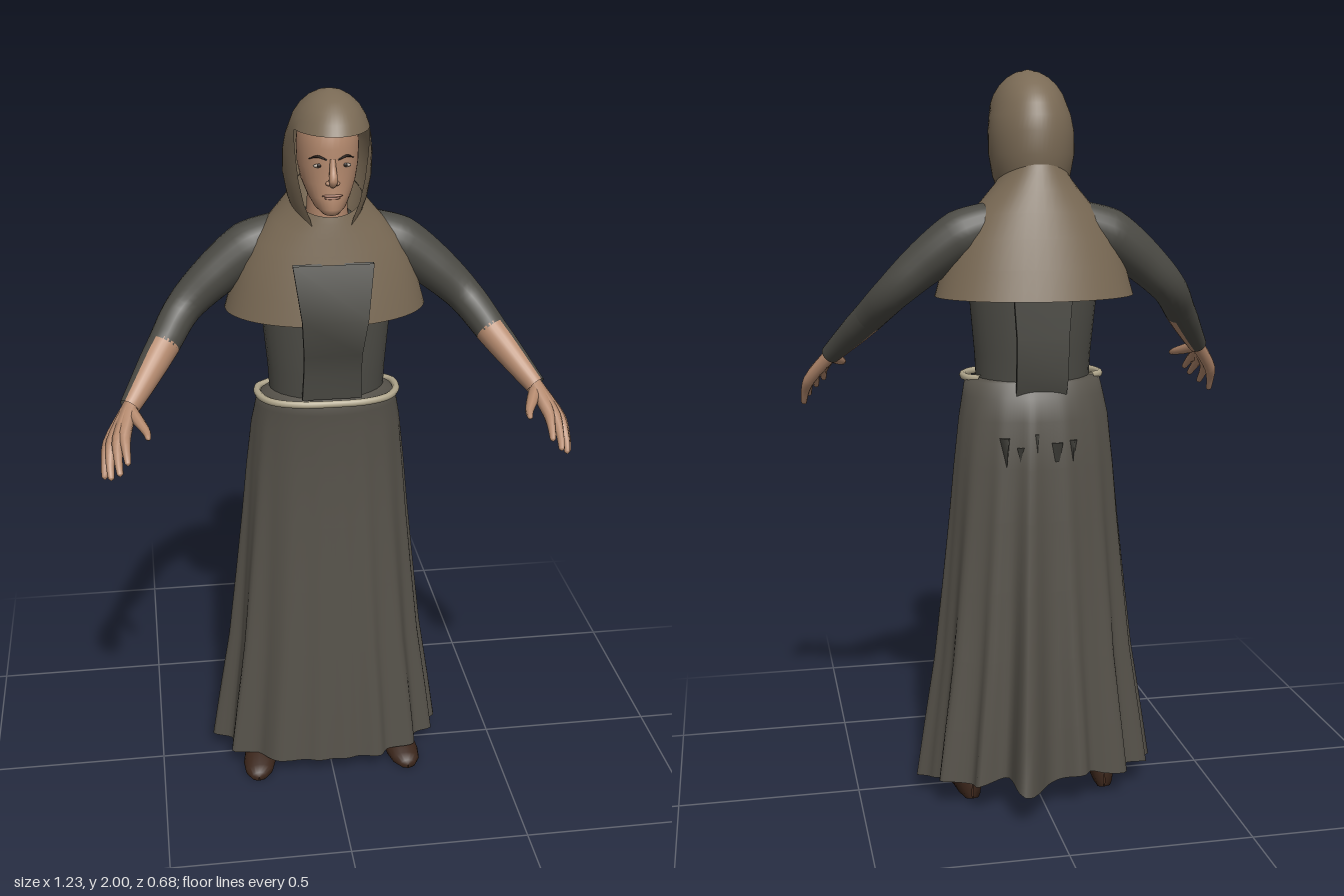
import * as THREE from 'three';
import { mergeGeometries, mergeVertices } from 'three/addons/utils/BufferGeometryUtils.js';

const mat = (name, color) => {
  const m = new THREE.MeshStandardMaterial({ color, side: THREE.DoubleSide });
  m.name = name;
  return m;
};
const V = (x, y, z) => new THREE.Vector3(x, y, z);

// Joins a list of equal rings of points into one smooth surface.
function loft(rings, closed = true) {
  const n = rings[0].length, index = [];
  const last = closed ? n : n - 1;
  for (let i = 0; i < rings.length - 1; i++) {
    for (let j = 0; j < last; j++) {
      const k = (j + 1) % n;
      const a = i * n + j, b = a + n, c = i * n + k, d = c + n;
      index.push(a, b, c, b, d, c);
    }
  }
  const g = new THREE.BufferGeometry().setFromPoints(rings.flat());
  g.setIndex(index);
  g.computeVertexNormals();
  return g;
}

// Horizontal oval ring from [y, half width, back z, front z].
function oval([y, w, zb, zf], n, warp = () => ({ k: 1, dy: 0 })) {
  const cz = (zb + zf) / 2, d = (zf - zb) / 2;
  return Array.from({ length: n }, (_, j) => {
    const a = (j / n) * Math.PI * 2, { k, dy } = warp(a, y);
    return V(w * k * Math.cos(a), y + dy, cz + d * k * Math.sin(a));
  });
}
const ovals = (rows, n = 32, warp) => loft(rows.map((r) => oval(r, n, warp)));

// Tapered limb along a smooth path of [x, y, z, radius]; a0..a1 limits it to a strip.
function limb(points, { steps = 12, sides = 12, a0 = 0, a1 = Math.PI * 2 } = {}) {
  const curve = new THREE.CatmullRomCurve3(points.map((p) => V(p[0], p[1], p[2])));
  const closed = a1 - a0 > 6.28;
  const rings = [];
  for (let i = 0; i <= steps; i++) {
    const t = i / steps, f = t * (points.length - 1), q = Math.min(Math.floor(f), points.length - 2);
    const r = THREE.MathUtils.lerp(points[q][3], points[q + 1][3], f - q);
    const p = curve.getPoint(t), T = curve.getTangent(t);
    const N = V(0, 0, 1).addScaledVector(T, -T.z).normalize(), B = N.clone().cross(T);
    rings.push(Array.from({ length: closed ? sides : sides + 1 }, (_, j) => {
      const a = a0 + (j / sides) * (a1 - a0);
      return p.clone().addScaledVector(N, r * Math.cos(a)).addScaledVector(B, r * Math.sin(a));
    }));
  }
  return loft(rings, closed);
}

export function createModel() {
  const model = new THREE.Group();
  const robe = mat('robe cloth', 0x56524a), tunic = mat('tunic cloth', 0x4b4a44);
  const hoodCloth = mat('hood cloth', 0x7a6a55), skin = mat('skin', 0xb58a6e);
  const rope = mat('rope', 0xb0a68c), leather = mat('shoe leather', 0x3a251a);
  const dark = mat('brow brown', 0x2a211c), white = mat('eye white', 0xb5a99c), lip = mat('lips', 0xa3725d);
  const add = (name, geometry, material) => {
    const m = new THREE.Mesh(geometry, material);
    m.name = name;
    model.add(m);
    return m;
  };

  // Skirt: oval rows with sharp pleats that grow towards the hem
  const hem = [0.05, 0.3, -0.23, 0.15];
  const pleats = [[0.08, -0.35], [0.19, -0.225], [0.29, -0.165], [0.34, -0.04], [0.315, 0.03], [0.25, 0.11],
    [-0.1, -0.25], [-0.23, -0.2], [-0.32, -0.12], [-0.345, -0.03], [-0.3, 0.07], [-0.17, 0.14], [0.14, 0.15]]
    .map(([x, z]) => {
      const u = x / hem[1], v = (z + 0.04) / 0.19;
      return [Math.atan2(v, u), Math.hypot(u, v) - 1];
    });
  const fold = (a, y) => {
    const grow = Math.pow(Math.max(0, 1 - y / 1.18), 1.2);
    let k = 1 + 0.015 * grow * Math.sin(a * 23);
    for (const [pa, h] of pleats) {
      const d = Math.atan2(Math.sin(a - pa), Math.cos(a - pa));
      k += h * grow * Math.exp(-((d / 0.11) ** 2));
    }
    const back = Math.max(0, -Math.sin(a));
    return { k, dy: grow * (0.045 * back + 0.012 * Math.sin(a * 9) * back) };
  };
  add('skirt', ovals([hem, [0.2, 0.285, -0.222, 0.14], [0.4, 0.262, -0.21, 0.126], [0.6, 0.246, -0.2, 0.112],
    [0.8, 0.23, -0.192, 0.1], [0.95, 0.219, -0.187, 0.094], [1.08, 0.206, -0.177, 0.094], [1.14, 0.195, -0.158, 0.097],
    [1.18, 0.187, -0.142, 0.1], [1.19, 0.15, -0.12, 0.085]], 144, fold), robe);

  // Torso
  add('torso', ovals([[1.15, 0.155, -0.135, 0.09], [1.25, 0.16, -0.142, 0.093], [1.41, 0.175, -0.155, 0.093],
    [1.52, 0.17, -0.15, 0.08], [1.62, 0.12, -0.13, 0.06], [1.68, 0.05, -0.09, 0.04]]), tunic);

  // Hanging front and back panels: four soft faces following a profile of [z, y, half width]
  const panel = (name, rows) => {
    const corners = [[-1, 0], [1, 0], [1, 0.014], [-1, 0.014]];
    corners.forEach((c, i) => add(name, loft(rows.map(([z, y, w]) =>
      [c, corners[(i + 1) % 4]].map(([side, gap]) => V(side * w, y, z - gap))), false), tunic));
  };
  panel('frontPanel', [[0.1, 1.19, 0.08], [0.108, 1.26, 0.077], [0.122, 1.32, 0.077], [0.164, 1.43, 0.086], [0.124, 1.57, 0.105]]);
  panel('backPanel', [[-0.13, 1.14, 0.068], [-0.15, 1.2, 0.07], [-0.156, 1.3, 0.07], [-0.157, 1.44, 0.08]]);

  // Ragged ends of the back panel showing through the skirt
  [-0.08, -0.035, 0.02, 0.06, 0.1].forEach((x, i) => {
    const tip = add('panelTatter', new THREE.ConeGeometry(0.018, 0.06 + 0.02 * (i % 3), 3), tunic);
    tip.position.set(x, 1.0 - 0.015 * (i % 2), -0.181 + x * x);
    tip.rotation.set(Math.PI + 0.1, i, 0);
  });

  // Rope belt, open at the back
  const beltPath = [[-0.155, -0.06], [-0.186, -0.03], [-0.19, 0.03], [-0.16, 0.085], [-0.09, 0.116], [0, 0.122],
    [0.09, 0.116], [0.155, 0.085], [0.184, 0.03], [0.18, -0.03], [0.15, -0.06]].map(([x, z]) => V(x, 1.185, z));
  add('ropeBelt', new THREE.TubeGeometry(new THREE.CatmullRomCurve3(beltPath), 60, 0.01, 8), rope);

  // Shoulder cape with a collar that dips at the front
  const capeRows = [[1.408, 0.27, -0.246, 0.14], [1.48, 0.25, -0.225, 0.13], [1.55, 0.222, -0.203, 0.118],
    [1.61, 0.185, -0.183, 0.109], [1.66, 0.14, -0.165, 0.102], [1.7, 0.105, -0.15, 0.096], [1.72, 0.092, -0.142, 0.092]];
  add('cape', ovals(capeRows, 48, (a, y) => ({ k: 1, dy: -0.034 * Math.sin(a) * ((y - 1.408) / 0.312) })), hoodCloth);

  // Hood: closed crown with a brim, and side walls open around the face, welded into one surface
  const brim = [1.91, 0.1, -0.122, 0.188];
  const opening = ([, , zb, zf]) => Math.asin((0.17 - zb - zf) / (zf - zb));
  const hoodRing = (row, open, front) => {
    const [y, w, zb, zf] = row, angles = [];
    for (let j = 0; j <= 40; j++) angles.push(Math.PI - open + (j / 40) * (Math.PI + 2 * open));
    for (let j = 1; j < front; j++) angles.push(open + (j / front) * (Math.PI - 2 * open));
    return angles.map((a) => V(w * Math.cos(a), y, (zb + zf) / 2 + ((zf - zb) / 2) * Math.sin(a)));
  };
  const crown = loft([brim, [1.935, 0.091, -0.102, 0.172], [1.96, 0.075, -0.073, 0.15], [1.98, 0.054, -0.037, 0.118],
    [1.993, 0.031, 0.002, 0.08], [2, 0.0005, 0.037, 0.038]].map((r) => hoodRing(r, opening(brim), 20)));
  const walls = loft([[1.64, 0.075, -0.1, 0.105], [1.68, 0.088, -0.118, 0.11], [1.72, 0.103, -0.135, 0.12],
    [1.78, 0.114, -0.147, 0.13], [1.84, 0.114, -0.145, 0.142], [1.88, 0.108, -0.136, 0.16], brim]
    .map((r) => hoodRing(r, opening(r), 0)), false);
  const hood = mergeGeometries([crown.deleteAttribute('normal'), walls.deleteAttribute('normal')]);
  const welded = mergeVertices(hood, 1e-5);
  welded.computeVertexNormals();
  add('hood', welded, hoodCloth);

  // Head and neck
  add('neck', ovals([[1.58, 0.06, -0.07, 0.05], [1.76, 0.05, -0.06, 0.05]], 20), skin);
  add('head', ovals([[1.69, 0.001, 0.06, 0.065], [1.691, 0.022, 0.03, 0.096], [1.707, 0.04, -0.01, 0.106],
    [1.735, 0.056, -0.05, 0.103], [1.77, 0.07, -0.08, 0.1], [1.81, 0.078, -0.1, 0.1], [1.86, 0.08, -0.1, 0.102],
    [1.91, 0.075, -0.09, 0.095], [1.95, 0.05, -0.05, 0.07], [1.965, 0.001, 0.01, 0.02]], 32), skin);

  // Face
  const blob = (name, m, p, s) => {
    const b = add(name, new THREE.SphereGeometry(1, 14, 10), m);
    b.position.set(...p);
    b.scale.set(...s);
    return b;
  };
  add('nose', limb([[0, 1.835, 0.098, 0.007], [0, 1.81, 0.104, 0.009], [0, 1.785, 0.113, 0.012],
    [0, 1.772, 0.106, 0.009], [0, 1.766, 0.098, 0.001]], { sides: 10 }), skin);
  blob('upperLip', lip, [0, 1.743, 0.099], [0.027, 0.004, 0.005]);
  blob('lowerLip', lip, [0, 1.737, 0.099], [0.021, 0.004, 0.005]);

  for (const s of [-1, 1]) {
    blob('nostril', skin, [s * 0.011, 1.775, 0.101], [0.007, 0.006, 0.008]);
    blob('eye', white, [s * 0.034, 1.818, 0.089], [0.014, 0.005, 0.004]);
    blob('iris', dark, [s * 0.033, 1.819, 0.0915], [0.006, 0.005, 0.003]);
    add('eyebrow', limb([[s * 0.014, 1.834, 0.099, 0.002], [s * 0.036, 1.842, 0.092, 0.0035],
      [s * 0.057, 1.833, 0.073, 0.001]], { sides: 6 }), dark);

    // Sleeved arm; the forearm is bare along its inner side
    const arm = (pts) => pts.map(([x, y, z, r]) => [s * x, y, z, r]);
    add('upperArm', limb(arm([[0.12, 1.597, -0.075, 0.062], [0.2, 1.567, -0.068, 0.071], [0.29, 1.503, -0.056, 0.061],
      [0.38, 1.42, -0.033, 0.049], [0.44, 1.345, 0.044, 0.043]]), { steps: 20, sides: 20 }), tunic);
    const fore = arm([[0.437, 1.348, 0.04, 0.0435], [0.467, 1.312, 0.08, 0.04], [0.505, 1.266, 0.132, 0.033],
      [0.535, 1.23, 0.17, 0.027]]);
    const mid = -s * 0.63, bare0 = mid - 1.6, bare1 = mid + 1.6;
    add('bareForearm', limb(fore, { a0: bare0, a1: bare1 }), skin);
    add('forearmSleeve', limb(fore, { a0: bare1, a1: bare0 + 2 * Math.PI }), tunic);

    // Hand: each finger runs from the wrist through its knuckle to the tip
    const fingers = [
      [[0.55, 1.187, 0.245], [0.549, 1.165, 0.288], [0.546, 1.14, 0.322]],
      [[0.567, 1.175, 0.25], [0.57, 1.147, 0.298], [0.567, 1.118, 0.336]],
      [[0.583, 1.163, 0.238], [0.591, 1.128, 0.28], [0.59, 1.097, 0.312]],
      [[0.592, 1.153, 0.22], [0.604, 1.113, 0.248], [0.607, 1.08, 0.268]],
    ];
    for (const [k, m, t] of fingers) {
      add('finger', limb(arm([[0.53, 1.235, 0.165, 0.02], [...k, 0.017], [...m, 0.0115], [...t, 0.008],
        [t[0], t[1] - 0.005, t[2] + 0.004, 0.0005]]), { steps: 16, sides: 8 }), skin);
    }
    add('thumb', limb(arm([[0.535, 1.225, 0.175, 0.018], [0.512, 1.208, 0.225, 0.015], [0.496, 1.197, 0.262, 0.011],
      [0.492, 1.19, 0.288, 0.007], [0.492, 1.188, 0.293, 0.0005]]), { sides: 8 }), skin);

    // Shoe from cross-sections of [z, half width, height]
    const shoe = [[-0.12, 0.002, 0.04], [-0.115, 0.025, 0.08], [-0.07, 0.036, 0.11], [-0.02, 0.037, 0.095],
      [0.04, 0.045, 0.064], [0.09, 0.048, 0.05], [0.13, 0.04, 0.038], [0.152, 0.022, 0.026], [0.157, 0.001, 0.012]];
    add('shoe', loft(shoe.map(([z, w, h]) => Array.from({ length: 16 }, (_, j) => {
      const a = (j / 16) * Math.PI * 2;
      return V(s * (0.205 + 0.12 * z) - w * Math.cos(a), Math.max(0, h * (0.4 + 0.6 * Math.sin(a))), z);
    }))), leather);
  }
  return model;
}
